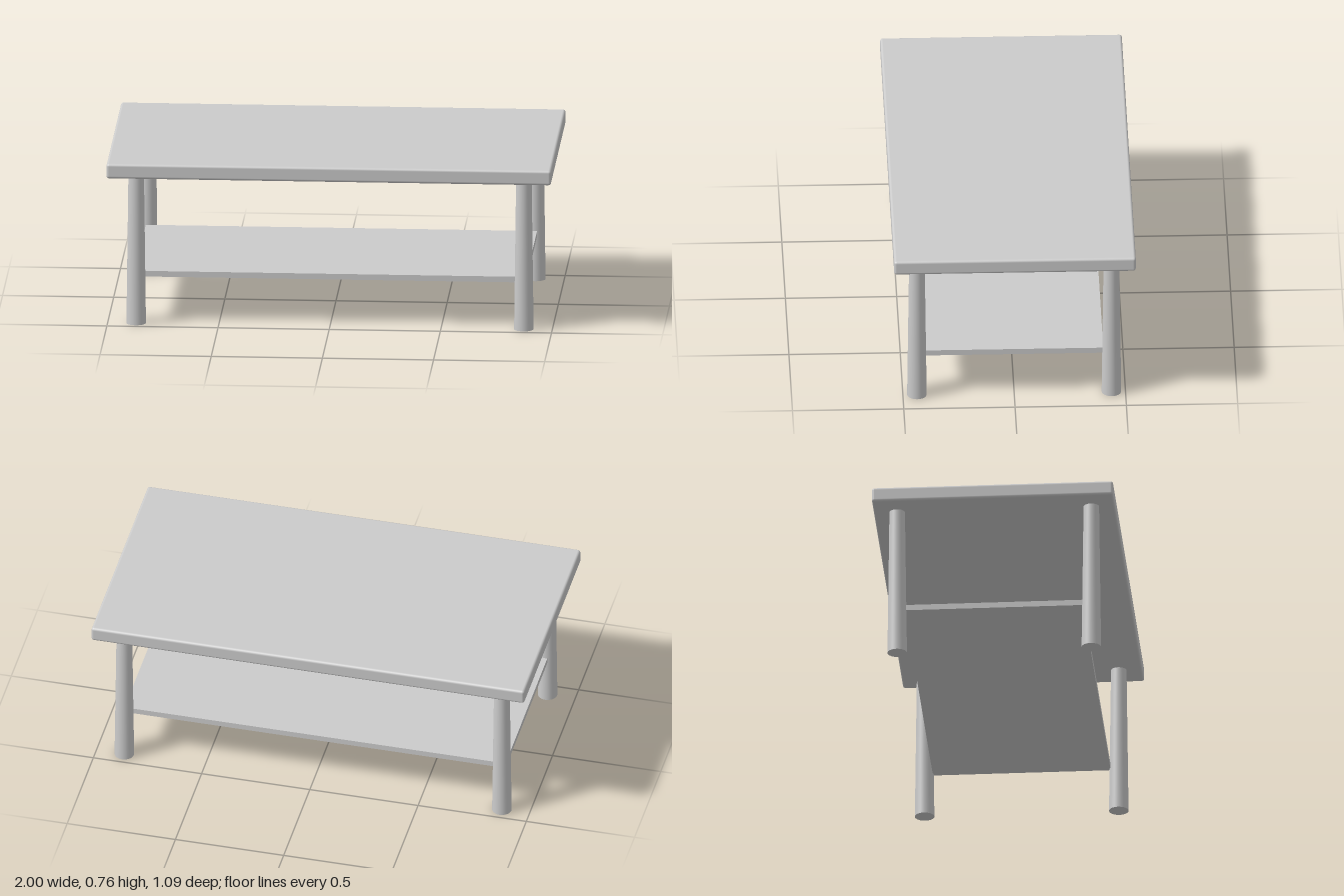
import * as THREE from 'three';
import { RoundedBoxGeometry } from 'three/addons/geometries/RoundedBoxGeometry.js';

export function createModel() {
  const table = new THREE.Group();
  table.name = 'coffeeTable';
  const material = new THREE.MeshStandardMaterial({ color: 0xcccccc });

  const add = (name, geometry, x, y, z) => {
    const mesh = new THREE.Mesh(geometry, material);
    mesh.name = name;
    mesh.position.set(x, y, z);
    table.add(mesh);
  };

  // Thick top with softened edges
  const topBottom = 0.695, topHeight = 0.068;
  add('tableTop', new RoundedBoxGeometry(2, topHeight, 1.086, 3, 0.012),
    0, topBottom + topHeight / 2, 0);

  // Thin lower shelf, its corners let into the legs
  add('shelf', new THREE.BoxGeometry(1.76, 0.026, 0.8), 0, 0.219, 0);

  // Four round legs, narrowing toward the top
  const legGeometry = new THREE.CylinderGeometry(0.035, 0.044, topBottom, 32);
  for (const [side, x] of [['Left', 0.872], ['Right', -0.872]]) {
    for (const [end, z] of [['front', 0.437], ['back', -0.437]]) {
      add(`${end}${side}Leg`, legGeometry, x, topBottom / 2, z);
    }
  }

  return table;
}
